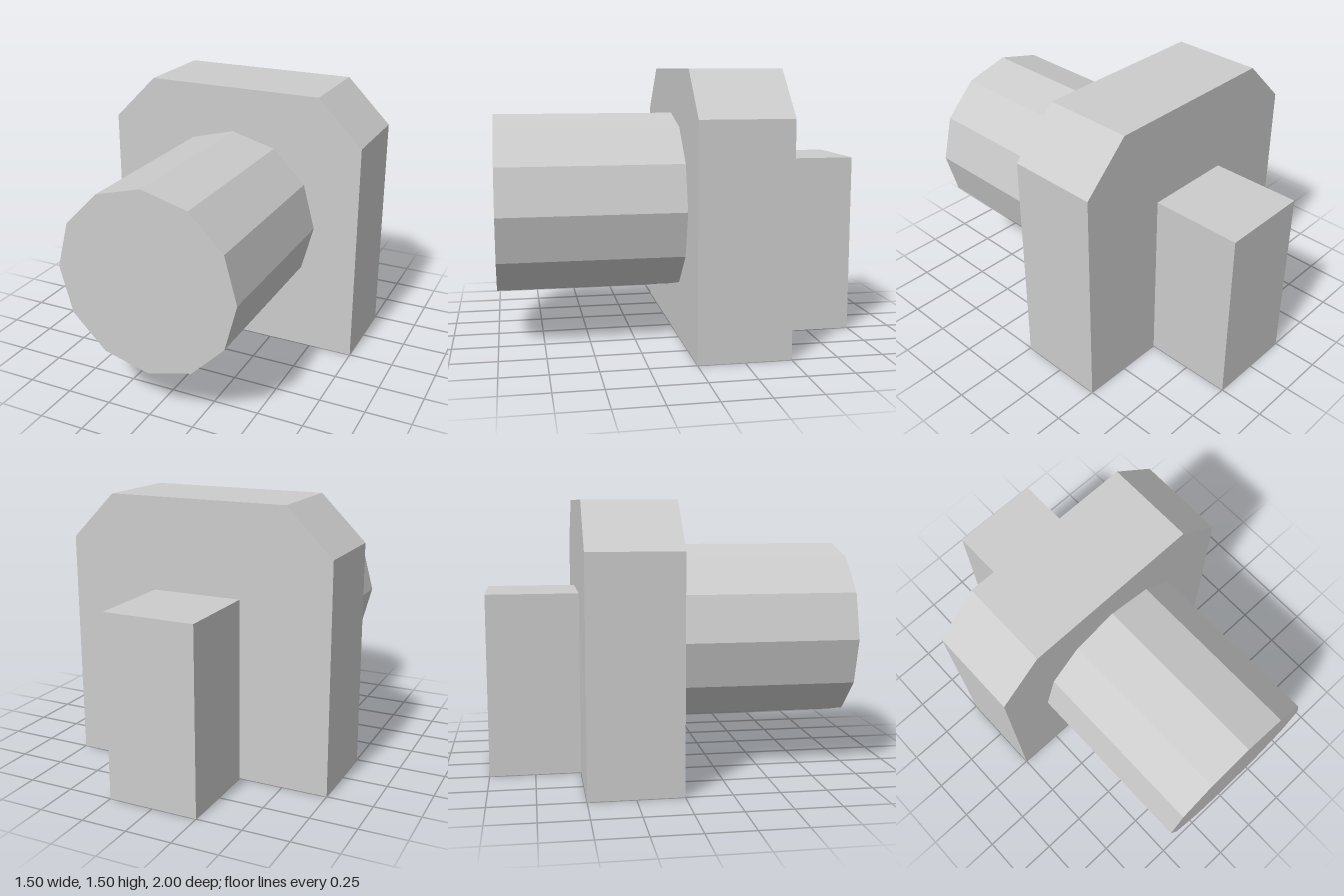
import * as THREE from 'three';

export function createModel() {
  const model = new THREE.Group();
  const grey = new THREE.MeshStandardMaterial({ color: 0xcccccc, flatShading: true });
  grey.name = 'light grey';

  const add = (name, geometry, x, y, z) => {
    const mesh = new THREE.Mesh(geometry, grey);
    mesh.name = name;
    mesh.position.set(x, y, z);
    model.add(mesh);
  };

  // Upright plate with chamfered top corners
  const outline = new THREE.Shape([
    [-0.75, 0], [0.75, 0], [0.75, 1.25], [0.5, 1.5], [-0.5, 1.5], [-0.75, 1.25],
  ].map(([x, y]) => new THREE.Vector2(x, y)));
  add('plate', new THREE.ExtrudeGeometry(outline, { depth: 0.5, bevelEnabled: false }), 0, 0, -0.5);

  // Twelve-sided barrel pointing forward
  add('barrel', new THREE.CylinderGeometry(0.5, 0.5, 1, 12).rotateX(Math.PI / 2), 0, 0.75, 0.5);

  // Block standing behind the plate
  add('rearBlock', new THREE.BoxGeometry(0.5, 1, 0.5), 0, 0.5, -0.75);

  return model;
}
